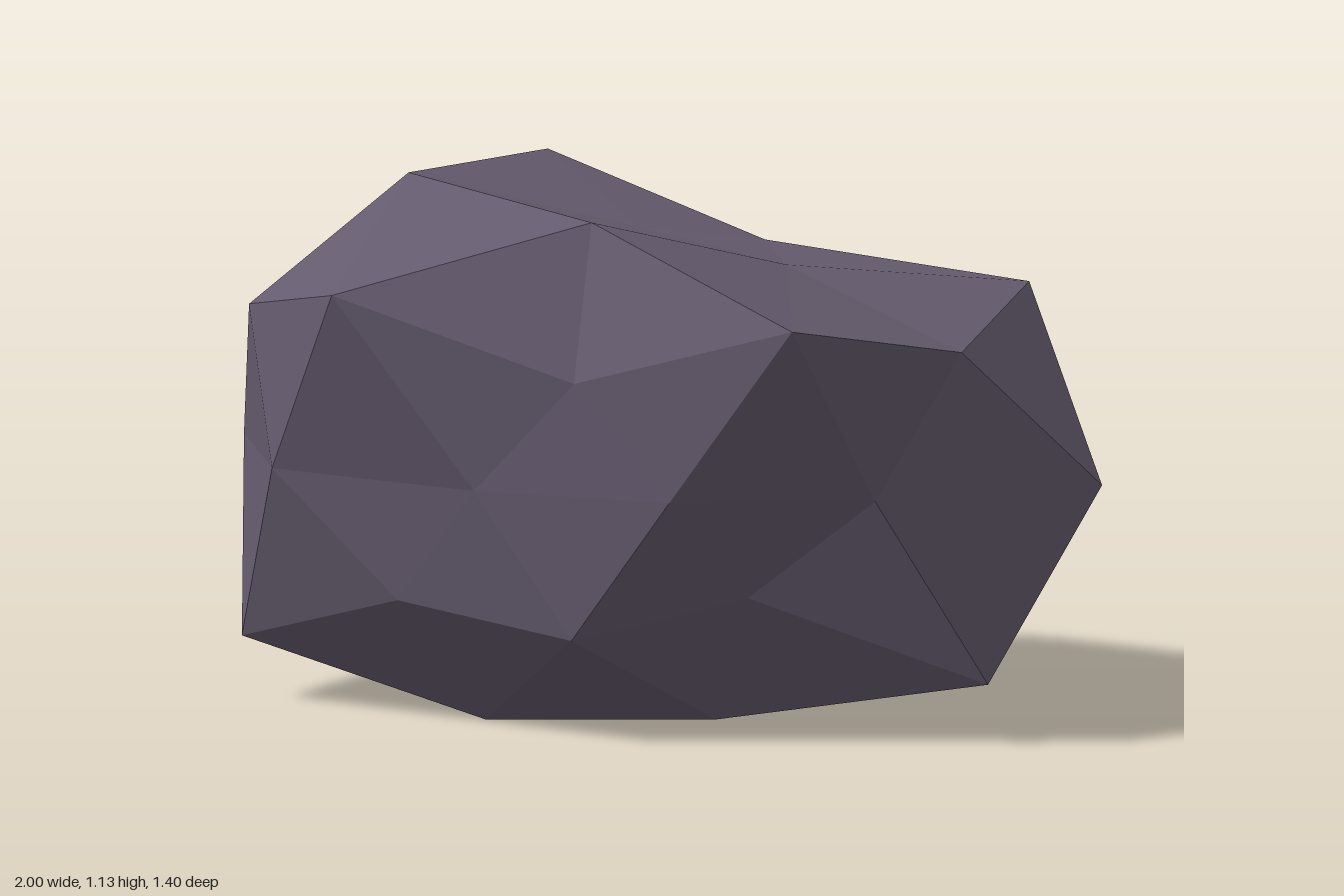
import * as THREE from 'three';

// Faceted boulder: a twice-divided icosahedron standing on its pole,
// each ring of points pushed in or out, then squashed.
const CENTRE = new THREE.Vector3(-0.02, 0.53, 0);
const SCALE = new THREE.Vector3(1, 0.71, 0.8);

// A ring of points at a given unit height, one radius factor per point
function ring(height, startDeg, factors) {
  const flat = Math.sqrt(1 - height * height);
  return factors.map((f, i) => {
    const a = THREE.MathUtils.degToRad(startDeg + (360 / factors.length) * i);
    return new THREE.Vector3(flat * Math.cos(a), height, flat * Math.sin(a))
      .multiplyScalar(f).multiply(SCALE).add(CENTRE);
  });
}

function boulderGeometry() {
  const top = ring(1, 0, [0.69])[0];
  const crown = ring(0.851, 0, [0.737, 0.925, 0.99, 0.975, 0.725]);
  const upper = ring(0.447, 0, [0.945, 0.75, 0.985, 0.72, 0.985]);
  const upperMid = ring(0.526, 36, [1.02, 1.085, 0.67, 0.985, 1.04]);
  const waist = ring(0, 18, [0.805, 0.73, 0.73, 0.9, 0.91, 1.035, 1.085, 0.74, 0.82, 1.07]);
  const lowerMid = ring(-0.526, 0, [1.075, 0.82, 1.055, 0.746, 0.79]);
  const lower = ring(-0.447, 36, [0.69, 0.81, 0.955, 0.72, 0.68]);
  const base = ring(-0.851, 36, [0.83, 0.875, 0.68, 0.83, 0.69]);
  const bottom = ring(-1, 0, [0.64])[0];

  const points = [];
  // One large triangle divided into four through its edge points
  const split = (a, b, c, ab, bc, ca) =>
    points.push(a, ab, ca, ab, b, bc, ca, bc, c, ab, bc, ca);

  for (let k = 0; k < 5; k++) {
    const n = (k + 1) % 5;
    const w0 = waist[2 * k], w1 = waist[2 * k + 1], w2 = waist[(2 * k + 2) % 10];
    split(top, upper[n], upper[k], crown[n], upperMid[k], crown[k]);
    split(upper[k], upper[n], lower[k], upperMid[k], w1, w0);
    split(upper[n], lower[n], lower[k], w2, lowerMid[n], w1);
    split(lower[k], lower[n], bottom, lowerMid[n], base[n], base[k]);
  }
  const geometry = new THREE.BufferGeometry().setFromPoints(points);
  geometry.computeVertexNormals();
  return geometry;
}

export function createModel() {
  const stone = new THREE.MeshStandardMaterial({ color: 0x655b6e, flatShading: true });
  stone.name = 'purple grey stone';
  const boulder = new THREE.Mesh(boulderGeometry(), stone);
  boulder.name = 'boulder';
  const group = new THREE.Group();
  group.name = 'rock';
  group.add(boulder);
  return group;
}
